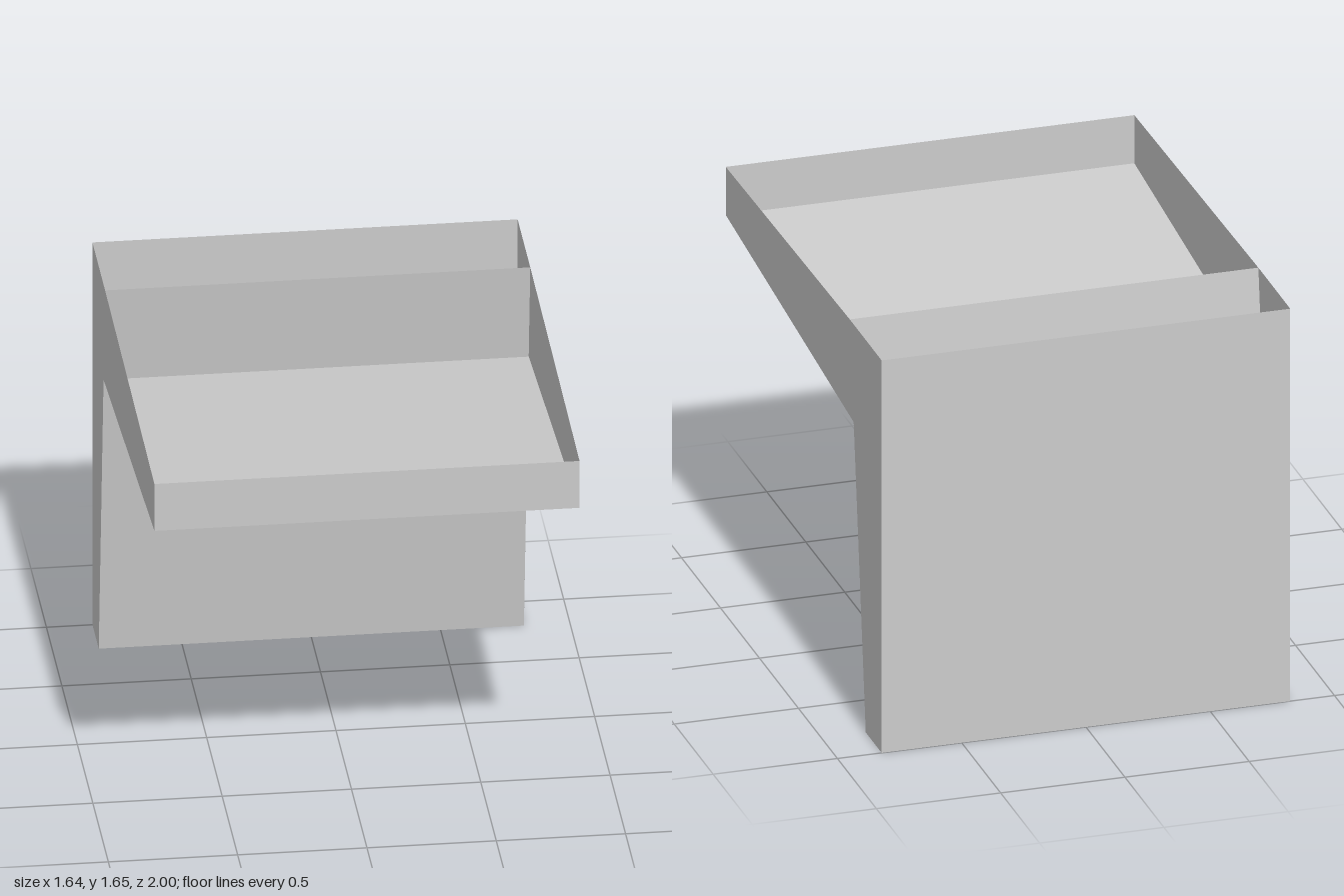
import * as THREE from 'three';

const HALF = 0.822; // half width

export function createModel() {
  const group = new THREE.Group();
  const material = new THREE.MeshStandardMaterial({
    color: 0xcccccc, flatShading: true, side: THREE.DoubleSide,
  });

  const add = (name, geometry) => {
    const mesh = new THREE.Mesh(geometry, material);
    mesh.name = name;
    group.add(mesh);
    return mesh;
  };

  // Full-width thin sheet between two [z, y] points of the side profile
  const sheet = (name, [z0, y0], [z1, y1]) => {
    const geometry = new THREE.PlaneGeometry(HALF * 2, Math.hypot(z1 - z0, y1 - y0));
    geometry.rotateX(Math.atan2(z1 - z0, y1 - y0));
    geometry.translate(0, (y0 + y1) / 2, (z0 + z1) / 2);
    add(name, geometry);
  };

  // Profile points as [z, y]
  const backBottom = [-1, 0];
  const backTop = [-1, 1.647];
  const baseFront = [-0.796, 0];
  const elbow = [-0.641, 1.237];
  const dividerTop = [-0.591, 1.647];
  const lipBottom = [1, 1.415];
  const lipTop = [1, 1.617];

  // Side walls, shared outline of tray and hollow pedestal
  const outline = [backBottom, baseFront, elbow, lipBottom, lipTop, dividerTop, backTop];
  const sideShape = new THREE.Shape(outline.map(([z, y]) => new THREE.Vector2(z, y)));
  for (const side of [1, -1]) {
    const geometry = new THREE.ShapeGeometry(sideShape);
    geometry.rotateY(-Math.PI / 2);
    add(side > 0 ? 'leftSideWall' : 'rightSideWall', geometry).position.x = side * HALF;
  }

  // Hollow pedestal, open at the top; its front wall runs up to divide the tray
  sheet('pedestalBase', backBottom, baseFront);
  sheet('backWall', backTop, backBottom);
  sheet('pedestalFrontAndDivider', baseFront, dividerTop);

  // Open tray: sloping floor and front lip
  sheet('trayFloor', elbow, lipBottom);
  sheet('frontLip', lipBottom, lipTop);

  return group;
}
